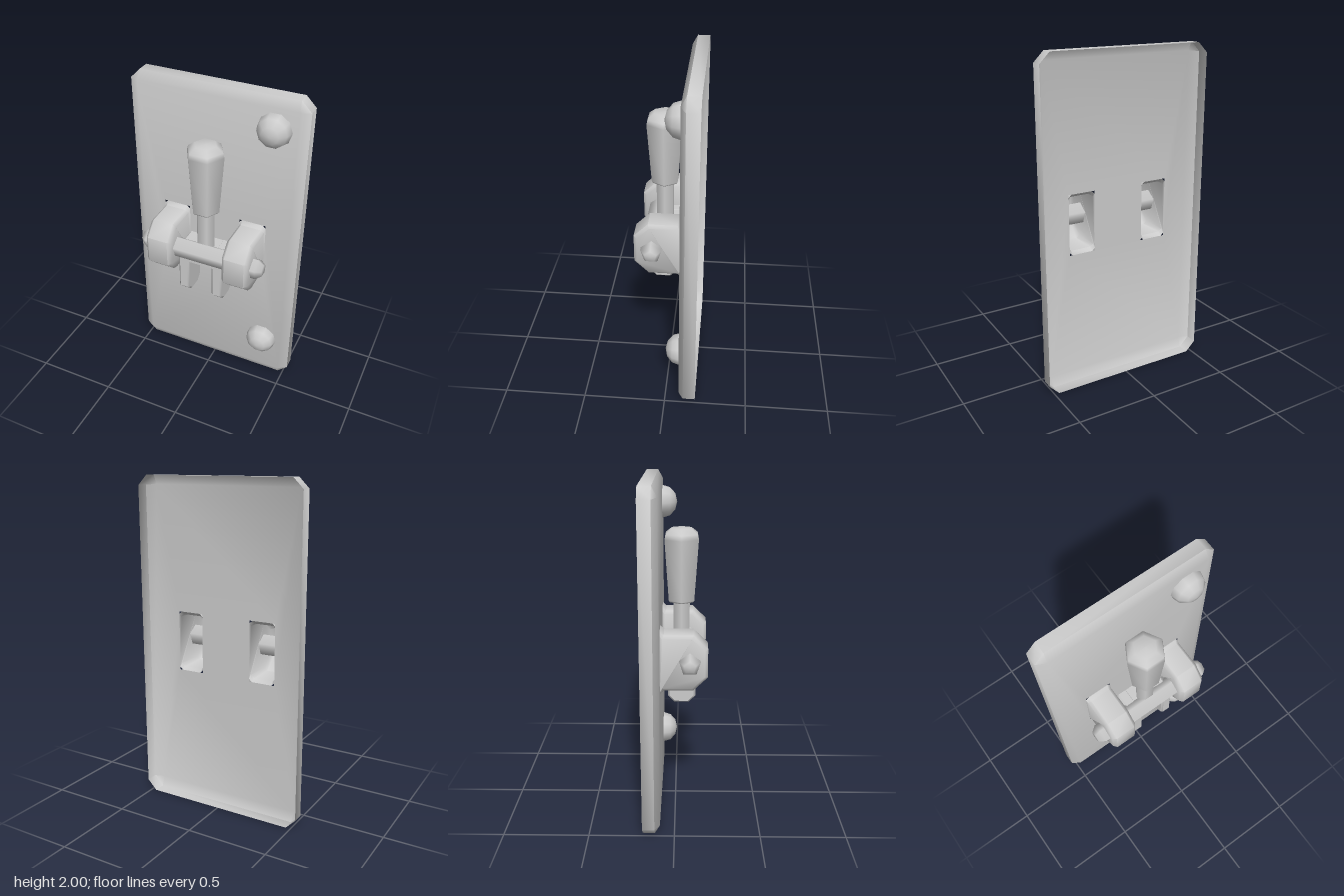
import * as THREE from 'three';
import { mergeGeometries, toCreasedNormals } from 'three/addons/utils/BufferGeometryUtils.js';

const material = new THREE.MeshStandardMaterial({ color: 0xcccccc, side: THREE.DoubleSide });
const FACE = -0.085; // z of the plate's front face

function add(parent, name, geometry) {
  const mesh = new THREE.Mesh(geometry, material);
  mesh.name = name;
  parent.add(mesh);
  return mesh;
}

const shapeOf = (pts) => new THREE.Shape(pts.map(([x, y]) => new THREE.Vector2(x, y)));

// Extrudes a (z, y) profile across x, centred, with small chamfered edges
function extrudeAcross(profile, width, bevel) {
  const g = new THREE.ExtrudeGeometry(shapeOf(profile), {
    depth: width - 2 * bevel, bevelEnabled: true, bevelSegments: 1,
    bevelSize: bevel, bevelThickness: bevel, bevelOffset: -bevel,
  });
  g.translate(0, 0, bevel - width / 2).rotateY(-Math.PI / 2);
  g.deleteAttribute('uv');
  return g.index ? g.toNonIndexed() : g;
}

function lathe(profile, sides, phi = 0) {
  return new THREE.LatheGeometry(profile.map(([r, y]) => new THREE.Vector2(r, y)), sides, phi);
}

// Hollow plate, open at the back, with chamfered corners and two slots
function plateGeometry() {
  const w = 0.53, c = 0.06, iw = 0.475, lo = 0.055, hi = 1.945;
  const outline = [[w, c], [w, 2 - c], [w - c, 2], [c - w, 2], [-w, 2 - c], [-w, c], [c - w, 0], [w - c, 0]];
  const corners = [[iw, lo], [iw, hi], [iw, hi], [-iw, hi], [-iw, hi], [-iw, lo], [-iw, lo], [iw, lo]];
  const rings = [
    outline.map(([x, y]) => [x, y, -0.187]),
    outline.map(([x, y]) => [x, y, -0.115]),
    corners.map(([x, y]) => [x, y, FACE]),
  ];
  const pos = [];
  for (let r = 0; r < 2; r++) {
    for (let i = 0; i < 8; i++) {
      const j = (i + 1) % 8, a = rings[r], b = rings[r + 1];
      pos.push(...a[i], ...a[j], ...b[j]);
      if (b[i][0] !== b[j][0] || b[i][1] !== b[j][1]) pos.push(...a[i], ...b[j], ...b[i]);
    }
  }
  const sides = new THREE.BufferGeometry();
  sides.setAttribute('position', new THREE.Float32BufferAttribute(pos, 3));
  sides.computeVertexNormals();

  const face = shapeOf([[-iw, lo], [iw, lo], [iw, hi], [-iw, hi]]);
  for (const s of [-1, 1]) {
    const x0 = s * 0.245 - 0.083, x1 = s * 0.245 + 0.083;
    face.holes.push(shapeOf([[x0, 0.82], [x0, 1.19], [x1, 1.19], [x1, 0.82]]));
  }
  const front = new THREE.ShapeGeometry(face).toNonIndexed();
  front.deleteAttribute('uv');
  front.translate(0, 0, FACE);
  return toCreasedNormals(mergeGeometries([sides, front]), 0.9);
}

// Hollow bracket: flared where it meets the plate and open behind
function bracketGeometry() {
  const g = extrudeAcross([
    [-0.13, 0.82], [FACE, 0.82], [-0.062, 0.84], [0.105, 0.84], [0.187, 0.92],
    [0.187, 1.09], [0.105, 1.17], [-0.062, 1.17], [FACE, 1.19], [-0.13, 1.19],
  ], 0.16, 0.018);
  const p = g.attributes.position, kept = [];
  for (let i = 0; i < p.count; i++) {
    if (p.getZ(i) < FACE + 0.004) p.setXYZ(i, p.getX(i) * 1.05, p.getY(i), FACE);
  }
  for (let t = 0; t < p.count; t += 3) {
    const tri = [t, t + 1, t + 2];
    if (tri.every((i) => p.getZ(i) < FACE + 0.001)) continue;
    tri.forEach((i) => kept.push(p.getX(i), p.getY(i), p.getZ(i)));
  }
  const open = new THREE.BufferGeometry();
  open.setAttribute('position', new THREE.Float32BufferAttribute(kept, 3));
  return toCreasedNormals(open, 0.85);
}

export function createModel() {
  const model = new THREE.Group();
  model.name = 'leverSwitch';
  add(model, 'plate', plateGeometry());

  // Domed bolts along one side
  for (const y of [0.295, 1.82]) {
    const dome = new THREE.SphereGeometry(0.1, 10, 3, 0, Math.PI * 2, 0, Math.PI / 2);
    dome.rotateX(Math.PI / 2).scale(1, 1, 0.9);
    add(model, 'bolt', dome).position.set(0.345, y, FACE);
  }

  // Brackets holding the pivot rod
  for (const s of [-1, 1]) add(model, 'bracket', bracketGeometry()).position.x = s * 0.245;

  // Five-sided pivot rod with tapered ends
  const rod = lathe([[0, -0.39], [0.036, -0.39], [0.063, -0.355], [0.063, 0.355], [0.036, 0.39], [0, 0.39]], 5);
  rod.rotateY(Math.PI / 2).rotateZ(Math.PI / 2);
  add(model, 'pivotRod', rod).position.set(0, 1.008, 0.085);

  // Lever: shaft, handle and fork
  const lever = new THREE.Group();
  lever.name = 'lever';
  lever.position.z = 0.035;
  model.add(lever);
  add(lever, 'shaft', lathe([[0.056, 0.96], [0.056, 1.31]], 6, Math.PI / 2));
  const handle = lathe([
    [0, 1.285], [0.078, 1.285], [0.086, 1.295], [0.113, 1.655], [0.106, 1.685], [0.065, 1.715], [0, 1.718],
  ], 6, Math.PI / 2);
  add(lever, 'handle', handle);

  const prong = [[-0.08, 0.735], [-0.04, 0.693], [0.045, 0.693], [0.085, 0.735], [0.085, 1.04], [-0.08, 1.04]];
  for (const s of [-1, 1]) {
    add(lever, 'forkProng', toCreasedNormals(extrudeAcross(prong, 0.068, 0.01), 0.6)).position.x = s * 0.108;
  }
  add(lever, 'forkBridge', new THREE.BoxGeometry(0.17, 0.1, 0.165)).position.set(0, 0.988, 0.0025);
  return model;
}
